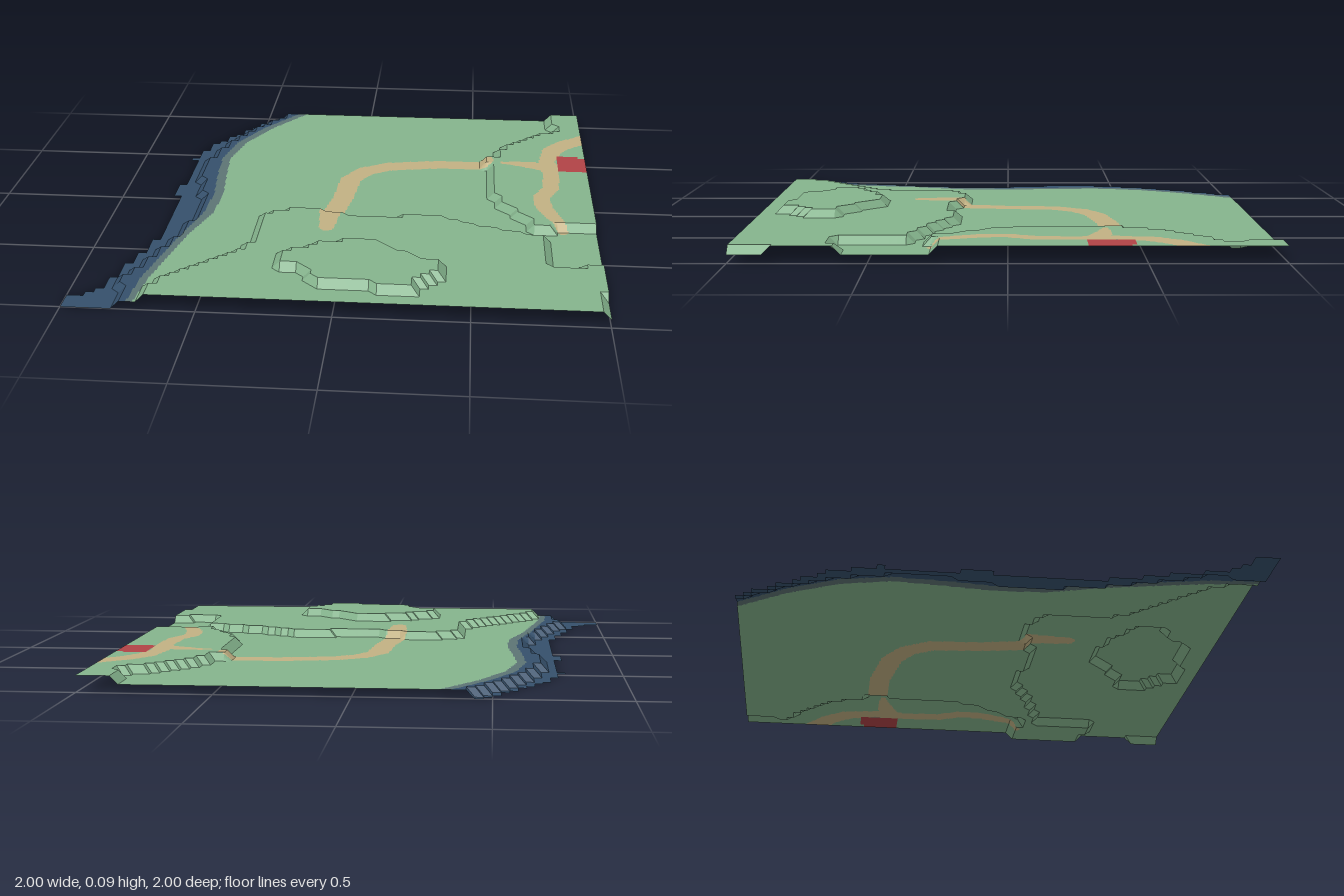
import * as THREE from 'three';

const N = 64, CELL = 2 / N, STEP = 0.0315, SUB = 5;

const mat = (name, color) => new THREE.MeshStandardMaterial({ name, color, side: THREE.DoubleSide, flatShading: true });

// Terrace outlines as [x, z]: vertices inside stand one step higher
const frontTerrace = [
  [-0.7, 1.01], [-0.7, 0.9], [-0.66, 0.83], [-0.62, 0.8], [-0.53, 0.7], [-0.44, 0.62], [-0.38, 0.53], [-0.35, 0.5],
  [-0.35, 0.24], [-0.32, 0.21], [-0.27, 0.21], [-0.26, 0.18], [-0.12, 0.18], [-0.11, 0.21], [-0.02, 0.21], [-0.02, 0.24],
  [0.2, 0.24], [0.2, 0.21], [0.38, 0.21], [0.42, 0.24], [0.52, 0.28], [0.6, 0.31], [0.68, 0.34], [0.79, 0.37], [0.79, 0.65],
  [0.92, 0.65], [0.92, 0.62], [1.01, 0.62], [1.01, 0.86], [0.98, 0.86], [0.98, 1.01]];
const rightTerrace = [
  [0.87, -1.01], [0.87, -0.86], [0.9, -0.83], [0.9, -0.79], [0.8, -0.76], [0.73, -0.7], [0.67, -0.62], [0.62, -0.54],
  [0.59, -0.45], [0.555, -0.44], [0.555, -0.36], [0.59, -0.35], [0.59, -0.02], [0.62, 0.01], [0.62, 0.08], [0.66, 0.12],
  [0.69, 0.18], [0.72, 0.21], [0.75, 0.25], [0.75, 0.285], [0.84, 0.285], [0.84, 0.255], [1.01, 0.255], [1.01, -1.01]];
const hill = [
  [-0.22, 0.65], [-0.16, 0.6], [-0.1, 0.55], [-0.02, 0.53], [0.13, 0.53], [0.18, 0.58], [0.26, 0.62], [0.3, 0.67], [0.38, 0.68],
  [0.38, 0.79], [0.32, 0.83], [0.28, 0.93], [0.16, 0.93], [0.14, 0.88], [-0.09, 0.88], [-0.12, 0.8], [-0.16, 0.76], [-0.22, 0.76]];

// Shore lines: x at every 0.2 of z from back to front
const bed = [-0.41, -0.54, -0.64, -0.69, -0.69, -0.65, -0.64, -0.68, -0.75, -0.82, -0.79];
const bank = [-0.35, -0.49, -0.59, -0.63, -0.62, -0.6, -0.61, -0.66, -0.7, -0.74, -0.755];
const grass = [-0.31, -0.45, -0.55, -0.595, -0.58, -0.56, -0.57, -0.63, -0.67, -0.71, -0.73];
const outer = [-0.46, -0.59, -0.72, -0.75, -0.75, -0.75, -0.73, -0.75, -0.81, -0.86, -1];

function along(line, z) {
  const t = THREE.MathUtils.clamp((z + 1) * 5, 0, 9.999), i = Math.floor(t);
  return THREE.MathUtils.lerp(line[i], line[i + 1], t - i);
}

function inside(poly, x, z) {
  let hit = false;
  for (let i = 0, j = poly.length - 1; i < poly.length; j = i++) {
    const [ax, az] = poly[i], [bx, bz] = poly[j];
    if ((az > z) !== (bz > z) && x < ((bx - ax) * (z - az)) / (bz - az) + ax) hit = !hit;
  }
  return hit;
}

// Footpaths as [x, z, half width]
const paths = [
  [[-0.08, 0.37, 0.03], [-0.08, 0.2, 0.045], [-0.045, 0, 0.043], [-0.03, -0.2, 0.045], [0.03, -0.3, 0.045],
    [0.13, -0.36, 0.045], [0.35, -0.4, 0.045], [0.55, -0.4, 0.045]],
  [[0.635, -0.37, 0.012], [0.72, -0.36, 0.03], [0.84, -0.33, 0.05]],
  [[1.02, -0.68, 0.05], [0.92, -0.61, 0.045], [0.86, -0.53, 0.045], [0.83, -0.4, 0.035], [0.84, -0.25, 0.035],
    [0.835, -0.1, 0.035], [0.79, 0, 0.035], [0.795, 0.1, 0.035], [0.83, 0.2, 0.03], [0.865, 0.28, 0.02]]];

function onPath(x, z) {
  return paths.some((p) => p.slice(1).some(([bx, bz, bw], i) => {
    const [ax, az, aw] = p[i], dx = bx - ax, dz = bz - az;
    const t = THREE.MathUtils.clamp(((x - ax) * dx + (z - az) * dz) / (dx * dx + dz * dz), 0, 1);
    return Math.hypot(x - ax - dx * t, z - az - dz * t) < aw + (bw - aw) * t;
  }));
}

function height(x, z) {
  if (x < along(bed, z)) return 0;
  let level = 1;
  if (inside(frontTerrace, x, z) || inside(rightTerrace, x, z)) level++;
  if (inside(hill, x, z)) level++;
  return level * STEP;
}

function surface(x, z) {
  if (x < along(bank, z)) return 'river';
  if (x < along(grass, z)) return 'riverbank';
  if (x > 0.875 && z > (x > 0.97 ? -0.445 : -0.465) && z < -0.285) return 'redFloor';
  return onPath(x, z) ? 'footpath' : 'grassland';
}

// The stepped outer rim of the river bed, with two small spurs
function exists(x, z) {
  const spur = x > -0.78 && ((z > -0.47 && z < -0.44) || (z > -0.16 && z < -0.04));
  return spur || x > along(outer, z) - 0.01 || (z > 0.9 && x > -1);
}

export function createModel() {
  const group = new THREE.Group();
  group.name = 'terrain';
  const materials = {
    grassland: mat('grass green', 0x85b48d),
    footpath: mat('sand', 0xc2b183),
    redFloor: mat('red', 0xb14346),
    river: mat('deep blue', 0x35506b),
    riverbank: mat('grey green', 0x5d7474),
  };
  const points = Object.fromEntries(Object.keys(materials).map((k) => [k, []]));

  for (let i = 0; i < N; i++) {
    for (let j = 0; j < N; j++) {
      const x = -1 + i * CELL, z = -1 + j * CELL;
      if (!exists(x + CELL / 2, z + CELL / 2)) continue;
      const h = [height(x, z), height(x + CELL, z), height(x, z + CELL), height(x + CELL, z + CELL)];
      const corner = (u, v) => [x + u * CELL,
        (h[0] * (1 - u) + h[1] * u) * (1 - v) + (h[2] * (1 - u) + h[3] * u) * v, z + v * CELL];
      const quad = (kind, u, v, s) => {
        const a = corner(u, v), b = corner(u, v + s), c = corner(u + s, v + s), d = corner(u + s, v);
        points[kind].push(...a, ...b, ...c, ...a, ...c, ...d);
      };
      // Cells crossed by a colour border are divided finely
      const kinds = [];
      for (let k = 0; k < SUB * SUB; k++) {
        kinds.push(surface(x + ((k % SUB) + 0.5) * CELL / SUB, z + (Math.floor(k / SUB) + 0.5) * CELL / SUB));
      }
      if (kinds.every((k) => k === kinds[0])) quad(kinds[0], 0, 0, 1);
      else kinds.forEach((kind, k) => quad(kind, (k % SUB) / SUB, Math.floor(k / SUB) / SUB, 1 / SUB));
    }
  }

  for (const [name, list] of Object.entries(points)) {
    const geometry = new THREE.BufferGeometry();
    geometry.setAttribute('position', new THREE.Float32BufferAttribute(list, 3));
    geometry.computeVertexNormals();
    const mesh = new THREE.Mesh(geometry, materials[name]);
    mesh.name = name;
    group.add(mesh);
  }
  return group;
}
